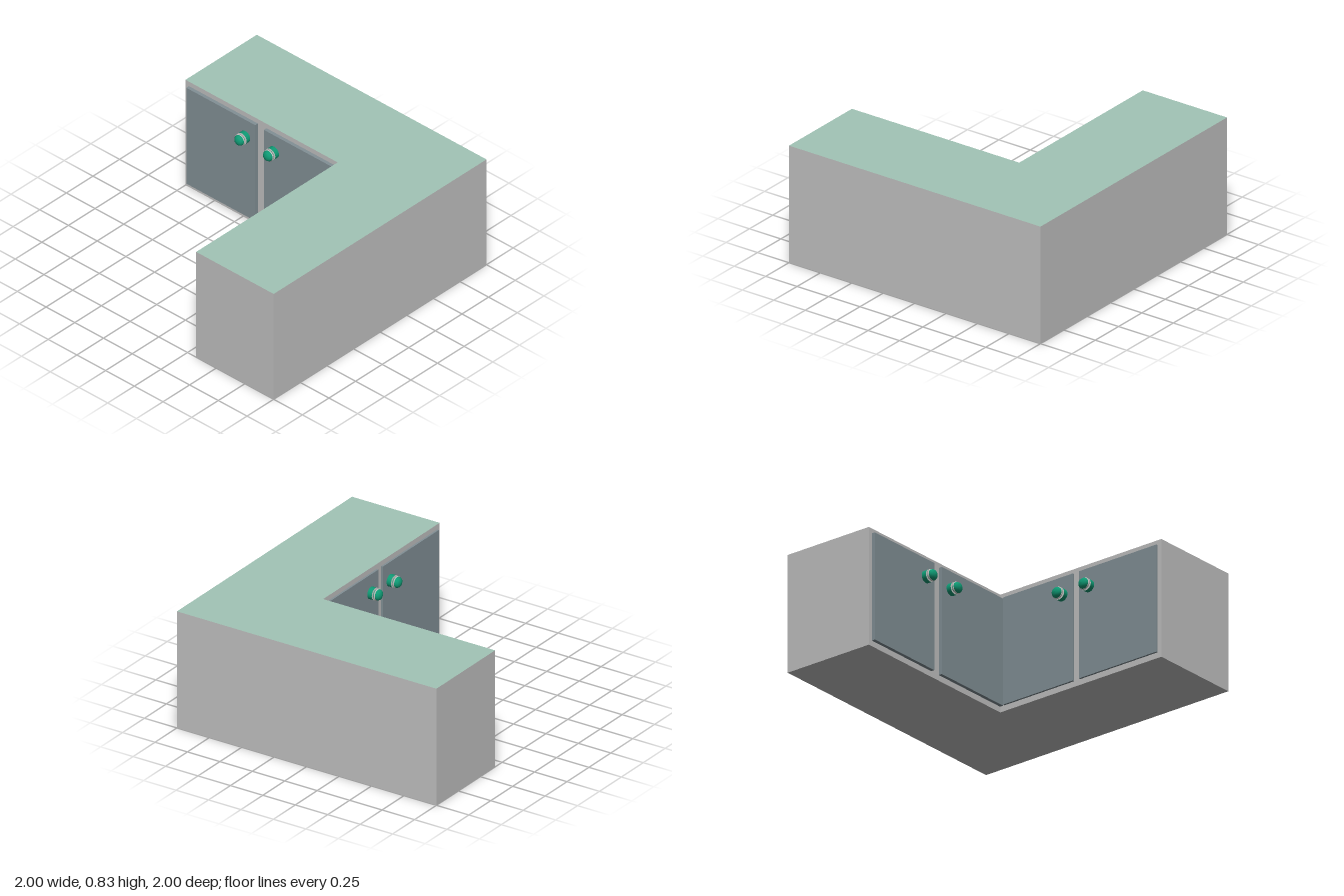
import * as THREE from 'three';

const mat = (name, color, side = THREE.FrontSide) => {
  const m = new THREE.MeshStandardMaterial({ color, side });
  m.name = name;
  return m;
};

export function createModel() {
  const root = new THREE.Group();
  root.name = 'cornerCabinet';
  const grey = mat('cabinet grey', 0xc0c0c0);
  const sage = mat('countertop sage', 0xa2c5b6);
  const slate = mat('door slate', 0x829096);
  const green = mat('knob green', 0x0f9a74, THREE.DoubleSide);
  const silver = mat('knob silver', 0xc4c8c6, THREE.DoubleSide);

  const add = (parent, name, geometry, material) => {
    const mesh = new THREE.Mesh(geometry, material);
    mesh.name = name;
    parent.add(mesh);
    return mesh;
  };

  // L-shaped plan, drawn with shape y = -z
  const H = 0.83, innerX = 0.325, innerZ = -0.33, skin = 0.002;
  const plan = new THREE.Shape([
    [-1, 1], [-1, -innerZ], [innerX, -innerZ], [innerX, -1], [1, -1], [1, 1],
  ].map(([x, y]) => new THREE.Vector2(x, y)));
  const slab = (y, depth) => new THREE.ExtrudeGeometry(plan, { depth, bevelEnabled: false })
    .rotateX(-Math.PI / 2).translate(0, y, 0);
  add(root, 'cabinetBody', slab(0, H - skin), grey);
  add(root, 'countertop', slab(H - skin, skin), [sage, grey]);

  // Knob parts as lathe profiles [radius, distance from door]
  const knobParts = [
    ['knobBase', green, [[0.042, 0], [0.042, 0.034]]],
    ['knobBaseRim', silver, [[0.042, 0.034], [0.028, 0.036]]],
    ['knobNeck', green, [[0.03, 0.034], [0.03, 0.046]]],
    ['knobCollar', silver, [[0.028, 0.044], [0.041, 0.046], [0.041, 0.053], [0.034, 0.055]]],
    ['knobCap', green, [[0.037, 0.053], [0.036, 0.064], [0.029, 0.074], [0.017, 0.081], [0, 0.083]]],
  ].map(([name, material, pts]) => [name, material, new THREE.LatheGeometry(
    pts.map(([r, d]) => new THREE.Vector2(r, d)), 20).rotateX(Math.PI / 2)]);

  // One wing's fronts: doors span [start, end] along local x and face local +z
  const addFronts = (name, doors, knobs, thickness) => {
    const wing = new THREE.Group();
    wing.name = name;
    for (const [a, b] of doors) {
      add(wing, 'door', new THREE.BoxGeometry(b - a, 0.755, thickness), slate)
        .position.set((a + b) / 2, 0.4175, thickness / 2);
    }
    for (const x of knobs) {
      const knob = new THREE.Group();
      knob.name = 'knob';
      knob.position.set(x, 0.665, thickness);
      for (const [part, material, geometry] of knobParts) add(knob, part, geometry, material);
      wing.add(knob);
    }
    root.add(wing);
    return wing;
  };

  addFronts('backWingFronts', [[-0.97, -0.37], [-0.295, 0.323]], [-0.455, -0.205], 0.025)
    .position.z = innerZ;
  // Side wing faces -x, so its local x runs along +z
  const side = addFronts('sideWingFronts', [[-0.295, 0.28], [0.33, 0.97]], [0.195, 0.415], 0.014);
  side.position.x = innerX;
  side.rotation.y = -Math.PI / 2;

  return root;
}
